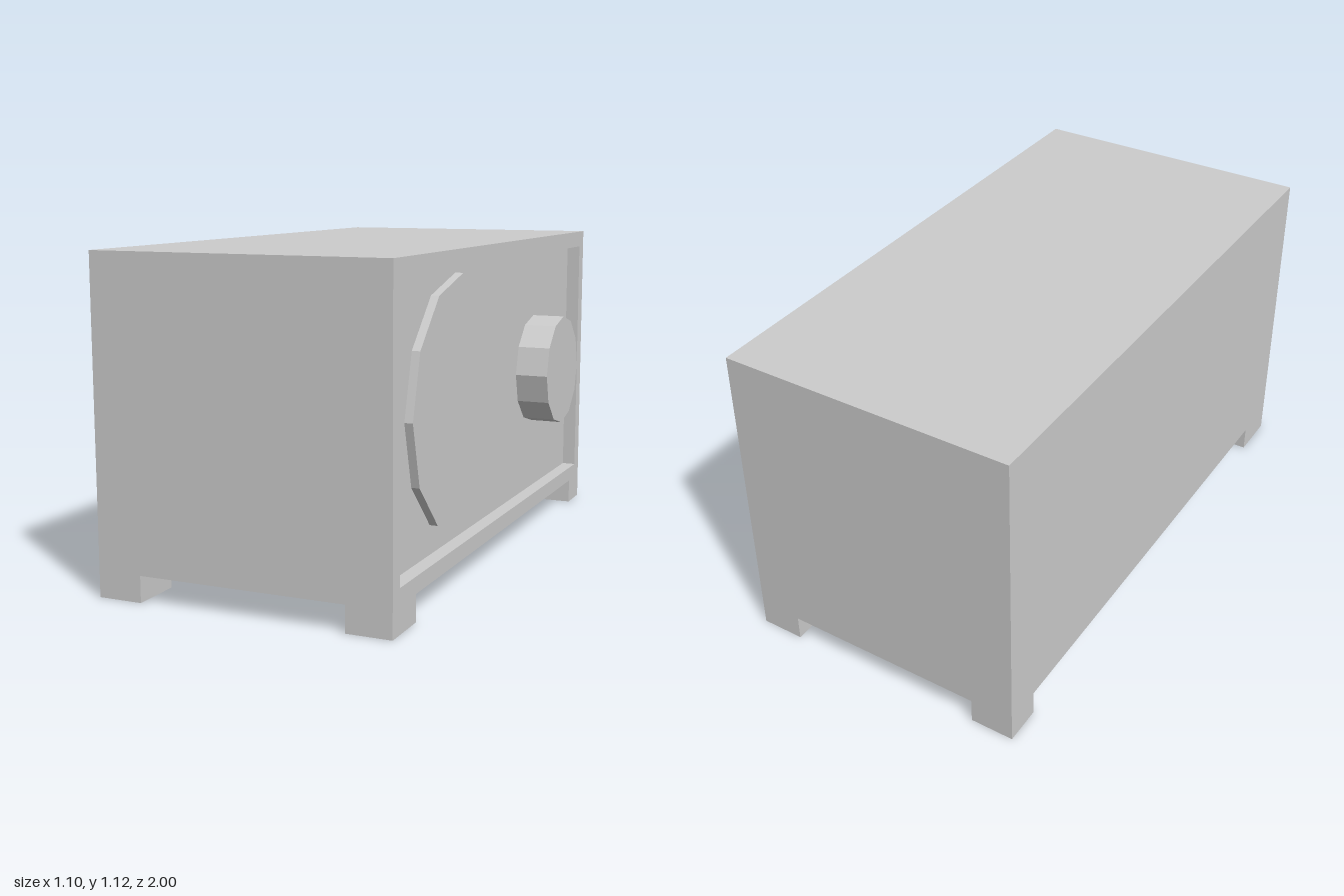
import * as THREE from 'three';

const material = new THREE.MeshStandardMaterial({ color: 0xcccccc, flatShading: true });

// Cabinet extents; the controls face +x
const BACK = -0.55, FACE = 0.48, PANEL = 0.43;
const BOTTOM = 0.09, TOP = 1.12, HALF = 1;

function addMesh(group, name, geometry) {
  const mesh = new THREE.Mesh(geometry, material);
  mesh.name = name;
  group.add(mesh);
}

// Box given by its minimum and maximum corners
function boxBetween(x0, x1, y0, y1, z0, z1) {
  return new THREE.BoxGeometry(x1 - x0, y1 - y0, z1 - z0)
    .translate((x0 + x1) / 2, (y0 + y1) / 2, (z0 + z1) / 2);
}

// Twelve-sided disc standing out from the recessed panel
function disc(radius, front, y, z) {
  return new THREE.CylinderGeometry(radius, radius, front - PANEL, 12)
    .rotateZ(-Math.PI / 2)
    .translate((PANEL + front) / 2, y, z);
}

// Closed rectangle, drawn in (-z, y)
function rectangle(PathType, half, y0, y1) {
  return new PathType([[-half, y0], [half, y0], [half, y1], [-half, y1]]
    .map(([x, y]) => new THREE.Vector2(x, y)));
}

export function createModel() {
  const model = new THREE.Group();
  model.name = 'cabinet';

  // Main body, up to the recessed panel
  addMesh(model, 'body', boxBetween(BACK, PANEL, BOTTOM, TOP, -HALF, HALF));

  // Raised frame around the panel
  const frame = rectangle(THREE.Shape, HALF, BOTTOM, TOP);
  frame.holes.push(rectangle(THREE.Path, 0.945, 0.145, 1.06));
  addMesh(model, 'panelFrame',
    new THREE.ExtrudeGeometry(frame, { depth: FACE - PANEL, bevelEnabled: false })
      .rotateY(Math.PI / 2)
      .translate(PANEL, 0, 0));

  // Large shallow disc and small protruding knob
  addMesh(model, 'largeDisc', disc(0.425, 0.458, 0.612, 0.372));
  addMesh(model, 'knob', disc(0.205, 0.55, 0.612, -0.487));

  // Four corner feet, the front pair longer
  for (const [side, x0, x1] of [['Right', BACK, -0.395], ['Left', 0.325, FACE]]) {
    addMesh(model, 'frontFoot' + side, boxBetween(x0, x1, 0, BOTTOM, 0.82, HALF));
    addMesh(model, 'backFoot' + side, boxBetween(x0, x1, 0, BOTTOM, -HALF, -0.867));
  }
  return model;
}
